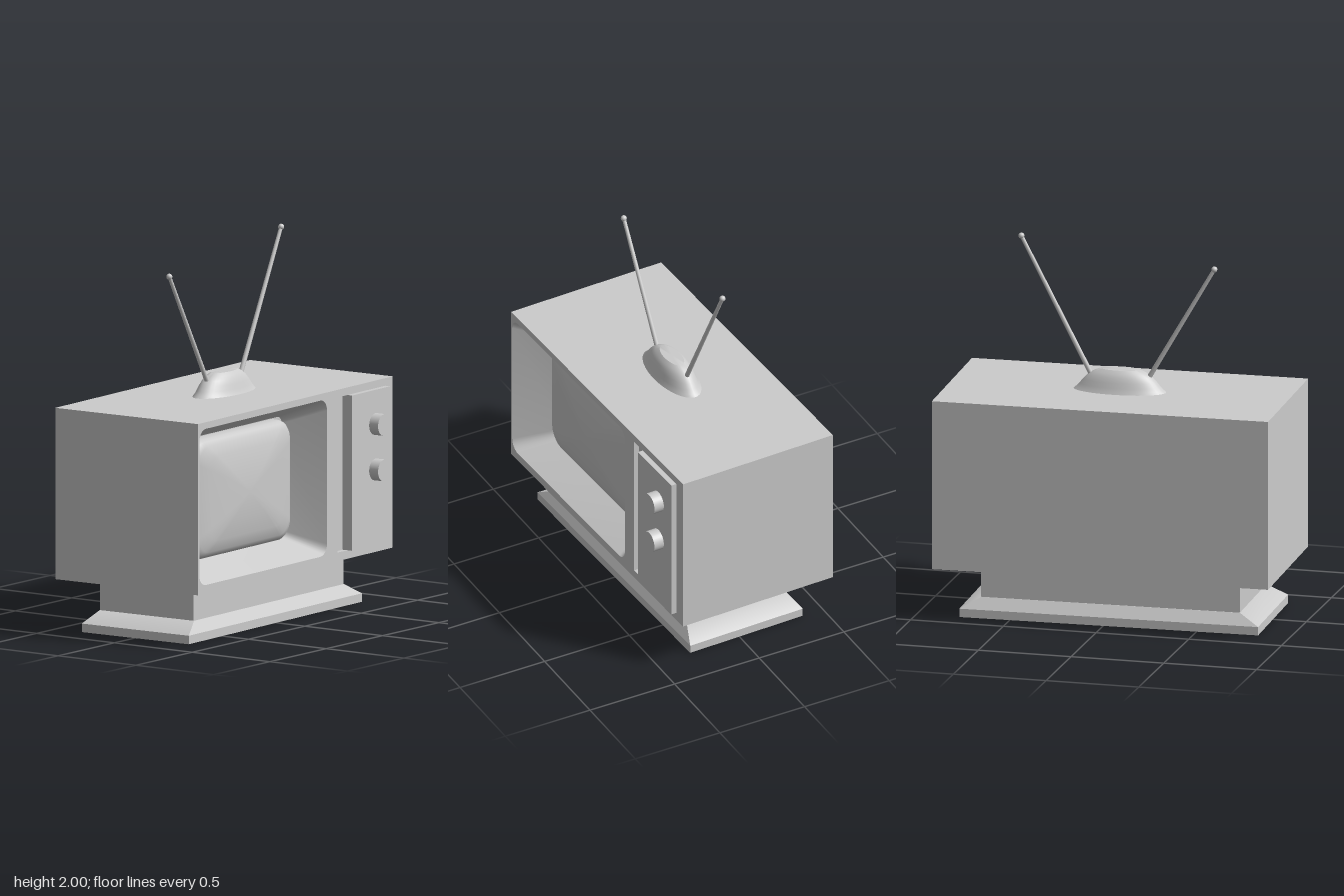
import * as THREE from 'three';
import { toCreasedNormals } from 'three/addons/utils/BufferGeometryUtils.js';

const grey = new THREE.MeshStandardMaterial({ color: 0xcccccc });
grey.name = 'plain grey';

// Counter-clockwise rounded rectangle at height z; n = 0 gives square corners
function ring(cx, cy, hw, hh, z, r = 0, n = 0) {
  const pts = [];
  [[1, 1], [-1, 1], [-1, -1], [1, -1]].forEach(([sx, sy], q) => {
    for (let i = 0; i <= n; i++) {
      const a = (q + (n ? i / n : 0.5)) * Math.PI / 2;
      pts.push(new THREE.Vector3(
        cx + sx * (hw - r) + r * Math.cos(a), cy + sy * (hh - r) + r * Math.sin(a), z));
    }
  });
  return pts;
}

// Skin over rings, with an optional fan closing the last one at height capZ
function loft(rings, capZ = null, crease = 0.6) {
  const n = rings[0].length, pts = rings.flat(), index = [];
  for (let k = 0; k < rings.length - 1; k++) {
    for (let i = 0; i < n; i++) {
      const j = (i + 1) % n, a = k * n, b = a + n;
      index.push(a + i, a + j, b + j, a + i, b + j, b + i);
    }
  }
  if (capZ !== null) {
    const last = rings[rings.length - 1], base = (rings.length - 1) * n;
    const c = last.reduce((s, p) => s.add(p), new THREE.Vector3()).divideScalar(n);
    c.z = capZ;
    for (let i = 0; i < n; i++) index.push(base + i, base + (i + 1) % n, pts.length);
    pts.push(c);
  }
  const g = new THREE.BufferGeometry().setFromPoints(pts);
  g.setIndex(index);
  return toCreasedNormals(g, crease);
}

export function createModel() {
  const model = new THREE.Group();
  const set = new THREE.Group();
  set.name = 'televisionSet';
  set.position.z = -0.02;
  set.rotation.y = 0.029;
  model.add(set);

  const add = (name, geo, x = 0, y = 0, z = 0) => {
    const m = new THREE.Mesh(geo, grey);
    m.name = name;
    m.position.set(x, y, z);
    set.add(m);
    return m;
  };

  // Cabinet: box without its front, closed by a pierced front face
  const F = 0.45;
  const box = new THREE.BoxGeometry(1.8, 0.905, 0.9);
  const faces = Array.from(box.index.array);
  faces.splice(24, 6);
  box.setIndex(faces);
  box.clearGroups();
  add('cabinet', box, 0, 0.7325, 0);

  const opening = ring(-0.298, 0.7375, 0.59, 0.4125, F, 0.06, 6);
  const slot = ring(0.434, 0.735, 0.046, 0.41, F);
  const face = new THREE.Shape().setFromPoints(ring(0, 0.7325, 0.9, 0.4525, F));
  face.holes.push(new THREE.Path().setFromPoints(opening), new THREE.Path().setFromPoints(slot));
  add('cabinetFront', new THREE.ShapeGeometry(face), 0, 0, F);

  // Sloped surround and bulging screen
  const sx = -0.28, sy = 0.733;
  add('screenSurround', loft([opening, ring(sx, sy, 0.475, 0.321, 0.23, 0.04, 6)], 0.23, 0.7));
  const bulge = [[1, 0.225], [1, 0.26], [0.985, 0.285], [0.95, 0.303], [0.88, 0.318],
    [0.7, 0.334], [0.4, 0.349], [0.13, 0.356]];
  add('screen', loft(bulge.map(([s, z]) =>
    ring(sx, sy, 0.47 * s, 0.318 * s, z, 0.1 * s, 8)), 0.356, 1.2));

  // Control panel with recessed strip and two knobs
  add('panelStrip', loft([slot, ring(0.434, 0.735, 0.046, 0.41, F - 0.03)], F - 0.03));
  add('controlPanel', new THREE.BoxGeometry(0.35, 0.82, 0.06), 0.655, 0.735, F);
  const knob = new THREE.CylinderGeometry(0.057, 0.057, 0.06, 32).rotateX(Math.PI / 2);
  for (const y of [0.965, 0.725]) add('knob', knob, 0.695, y, F + 0.056);

  // Stand
  add('standNeck', new THREE.BoxGeometry(1.385, 0.19, 0.59), -0.02, 0.19, 0);
  add('standFlare', loft([ring(-0.02, 0, 0.8, 0.3375, 0.045),
    ring(-0.02, 0, 0.693, 0.297, 0.105)], 0.105).rotateX(-Math.PI / 2));
  add('standPlinth', new THREE.BoxGeometry(1.6, 0.045, 0.675), -0.02, 0.0225, 0);

  // Antenna foot: flattened lathe
  const profile = [[0.247, 0], [0.232, 0.012], [0.215, 0.03], [0.195, 0.055], [0.17, 0.08],
    [0.14, 0.1], [0.103, 0.115], [0, 0.115]].map(([r, y]) => new THREE.Vector2(r, y));
  const foot = new THREE.LatheGeometry(profile, 40).scale(1, 1, 0.43);
  add('antennaFoot', toCreasedNormals(foot, 0.5), 0, 1.185, 0);

  // Two rods with ball tips
  for (const [x0, x1, y1] of [[-0.14, -0.505, 1.865], [0.14, 0.528, 1.984]]) {
    const a = new THREE.Vector3(x0, 1.235, 0), b = new THREE.Vector3(x1, y1, 0);
    const dir = b.clone().sub(a);
    const rod = add('antennaRod', new THREE.CylinderGeometry(0.01, 0.013, dir.length(), 12),
      (a.x + b.x) / 2, (a.y + b.y) / 2, 0);
    rod.quaternion.setFromUnitVectors(new THREE.Vector3(0, 1, 0), dir.normalize());
    add('antennaTip', new THREE.SphereGeometry(0.016, 16, 12), b.x, b.y, 0);
  }
  return model;
}
